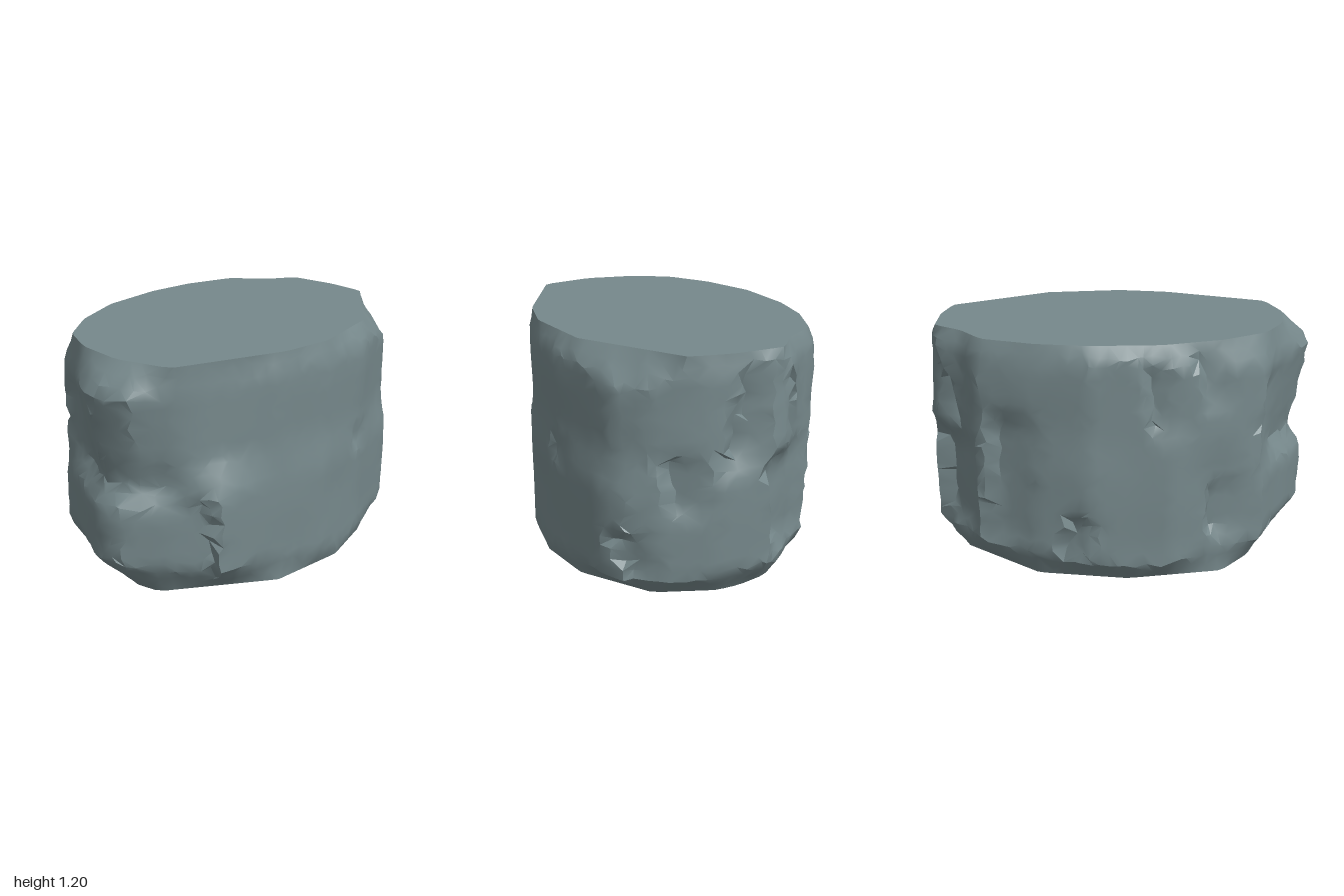
import * as THREE from 'three';
import { toCreasedNormals } from 'three/addons/utils/BufferGeometryUtils.js';

const HEIGHT = 1.2;

// Plan outlines as [x, z], walked from +x towards +z
const BOTTOM = [[0.86, 0], [0.855, 0.125], [0.73, 0.41], [0.38, 0.63], [0.06, 0.67], [-0.34, 0.57], [-0.78, 0.15],
  [-0.79, 0.02], [-0.64, -0.4], [-0.47, -0.58], [0.01, -0.63], [0.45, -0.53], [0.83, -0.17]];
const LOWER = [[0.97, 0.02], [0.95, 0.18], [0.9, 0.3], [0.84, 0.43], [0.76, 0.57], [0.63, 0.64], [0.23, 0.7],
  [-0.1, 0.685], [-0.38, 0.575], [-0.69, 0.46], [-0.82, 0.26], [-0.98, 0.07], [-0.98, -0.06], [-0.87, -0.24],
  [-0.78, -0.36], [-0.68, -0.54], [-0.42, -0.61], [-0.2, -0.7], [0.2, -0.7], [0.5, -0.59], [0.74, -0.48],
  [0.82, -0.34], [0.92, -0.23], [0.98, -0.08]];
const UPPER = [[0.96, 0.04], [0.93, 0.22], [0.89, 0.32], [0.8, 0.47], [0.66, 0.59], [0.25, 0.69], [-0.08, 0.67],
  [-0.36, 0.575], [-0.81, 0.29], [-0.98, 0.14], [-1, -0.07], [-0.88, -0.24], [-0.77, -0.36], [-0.68, -0.52],
  [-0.5, -0.61], [-0.2, -0.7], [0.2, -0.69], [0.5, -0.59], [0.74, -0.48], [0.82, -0.33], [0.94, -0.23],
  [1, -0.08]];
const TOP = [[0.93, 0.1], [0.88, 0.31], [0.36, 0.61], [-0.05, 0.64], [-0.31, 0.57], [-0.82, 0.28], [-0.86, 0],
  [-0.8, -0.25], [-0.68, -0.44], [-0.45, -0.57], [-0.15, -0.65], [0.2, -0.64], [0.45, -0.58], [0.7, -0.46],
  [0.81, -0.27], [0.94, -0.16]];

// Chips: sharp-edge angle, fading-edge angle, low y, high y, depth, lean
const CHIPS = [
  [-6, -31, 0.08, 0.72, 0.09, 4], [-33, -52, 0.03, 0.88, 0.06, -6],
  [7, -8, 0.6, 1.15, 0.07, -8], [-18, -9, 0.7, 1.12, 0.06, 10],
  [-20, -30, 0.3, 0.6, 0.05, 8], [27, 12, 0.4, 0.74, 0.05, 5],
  [40, 28, 0.06, 0.36, 0.06, 8], [148, 162, 0.04, 0.56, 0.06, 3],
  [76, 64, 0.57, 0.66, 0.03, 0], [-96, -113, 0.72, 1.12, 0.04, 6],
  [-62, -76, 0.1, 0.36, 0.06, -8], [-122, -140, 0.15, 0.5, 0.05, 5],
  [-142, -156, 0.45, 1.0, 0.04, -6], [-118, -130, 0.85, 1.15, 0.04, 5],
];

const clamp = (v) => Math.min(1, Math.max(0, v));
const mix = (a, b, t) => a + (b - a) * t;
const cross = (a, b) => a[0] * b[1] - a[1] * b[0];

// Seeded value between -1 and 1
function hash(i, j, seed) {
  const s = Math.sin(i * 127.1 + j * 311.7 + seed * 74.7) * 43758.5453;
  return (s - Math.floor(s)) * 2 - 1;
}

// Distance from the axis to an outline along an angle
function reach(outline, angle) {
  const d = [Math.cos(angle), Math.sin(angle)];
  let best = 0;
  outline.forEach((p, i) => {
    const q = outline[(i + 1) % outline.length];
    const e = [q[0] - p[0], q[1] - p[1]];
    const k = cross(d, e);
    if (Math.abs(k) < 1e-9) return;
    const u = cross(p, d) / k;
    if (u > -1e-6 && u < 1 + 1e-6) best = Math.max(best, cross(p, e) / k);
  });
  return best;
}

// Wrapped bilinear noise, giving broad planes around the rock
function noise(deg, y, cells, seed) {
  const a = (deg / 360) * cells, b = y * 5;
  const i = Math.floor(a), j = Math.floor(b);
  const at = (m, n) => hash((m + cells) % cells, n, seed);
  return mix(mix(at(i, j), at(i + 1, j), a - i), mix(at(i, j + 1), at(i + 1, j + 1), a - i), b - j);
}

function chipDepth(deg, y) {
  let depth = 0;
  for (const [a0, a1, y0, y1, size, lean] of CHIPS) {
    const v = (y - y0) / (y1 - y0);
    if (v <= 0 || v >= 1) continue;
    const width = a1 - a0;
    const u = (((deg - a0 - lean * (v - 0.5) + 900) % 360) - 180) / width;
    if (u <= 0 || u >= 1) continue;
    const edge = clamp((u * Math.abs(width)) / 2) * (1 - u * 0.9);
    const ends = Math.min(clamp(v * 4), clamp((1 - v) * 8));
    depth = Math.max(depth, size * edge * ends);
  }
  return depth;
}

// Undercut on the -x end, deepening down to a ledge
function undercut(deg, y) {
  const around = clamp((30 - Math.abs(deg - 184)) / 14);
  return 0.08 * around * clamp((1.05 - y) / 0.42) * clamp((y - 0.49) / 0.1);
}

function radiusAt(deg, y) {
  const t = THREE.MathUtils.degToRad(deg);
  const left = Math.max(0, -Math.cos(t));
  const body = mix(reach(LOWER, t), reach(UPPER, t), clamp((y - 0.55) / 0.18));
  // Broken bevels, taller on the left end and at the top of the front left corner
  const low = 0.08 + 0.04 * Math.abs(Math.cos(t)) + 0.06 * left + 0.03 * noise(deg, 0, 14, 2);
  const corner = 0.1 * clamp(1 - Math.abs(deg - 38) / 20);
  const high = 0.08 + 0.05 * left + corner + 0.02 * noise(deg, 0, 12, 8);
  const wb = 1 - clamp(y / low);
  const wt = 1 - clamp((HEIGHT - y) / high);
  const inner = clamp(3 * (1 - Math.max(wb, wt)));
  const worn = 0.006 * (noise(deg, y, 16, 1) - 1) - chipDepth(deg, y) - undercut(deg, y);
  return body + (reach(BOTTOM, t) - body) * wb + (reach(TOP, t) - body) * wt + worn * inner;
}

function rockGeometry() {
  const sides = 100, rows = 24, pos = [], index = [];
  // Rings of unevenly spaced points, level at the bottom and top
  for (let j = 0; j <= rows; j++) {
    const level = j === 0 || j === rows;
    for (let i = 0; i < sides; i++) {
      const y = (HEIGHT * (j + (level ? 0 : 0.3 * hash(i, j, 3)))) / rows;
      const deg = ((i + 0.5 + (level ? 0 : 0.35 * hash(i, j, 4))) / sides) * 360;
      const t = THREE.MathUtils.degToRad(deg), r = radiusAt(deg, y);
      pos.push(r * Math.cos(t), y, r * Math.sin(t));
    }
  }
  for (let j = 0; j < rows; j++) {
    for (let i = 0; i < sides; i++) {
      const n = (i + 1) % sides;
      const a = j * sides + i, b = j * sides + n, c = b + sides, d = a + sides;
      // Mixed diagonals keep the facets irregular
      if (hash(i, j, 6) > 0) index.push(a, d, c, a, c, b);
      else index.push(a, d, b, b, d, c);
    }
  }
  // Flat bottom and top
  const base = pos.length / 3, last = rows * sides;
  pos.push(0, 0, 0, 0, HEIGHT, 0);
  for (let i = 0; i < sides; i++) {
    const n = (i + 1) % sides;
    index.push(base, i, n, base + 1, last + n, last + i);
  }
  const geo = new THREE.BufferGeometry();
  geo.setAttribute('position', new THREE.Float32BufferAttribute(pos, 3));
  geo.setIndex(index);
  return toCreasedNormals(geo, 0.55);
}

export function createModel() {
  const stone = new THREE.MeshStandardMaterial({ color: 0x76888b });
  stone.name = 'greyStone';
  const rock = new THREE.Mesh(rockGeometry(), stone);
  rock.name = 'rock';
  const group = new THREE.Group();
  group.name = 'boulder';
  group.add(rock);
  return group;
}
